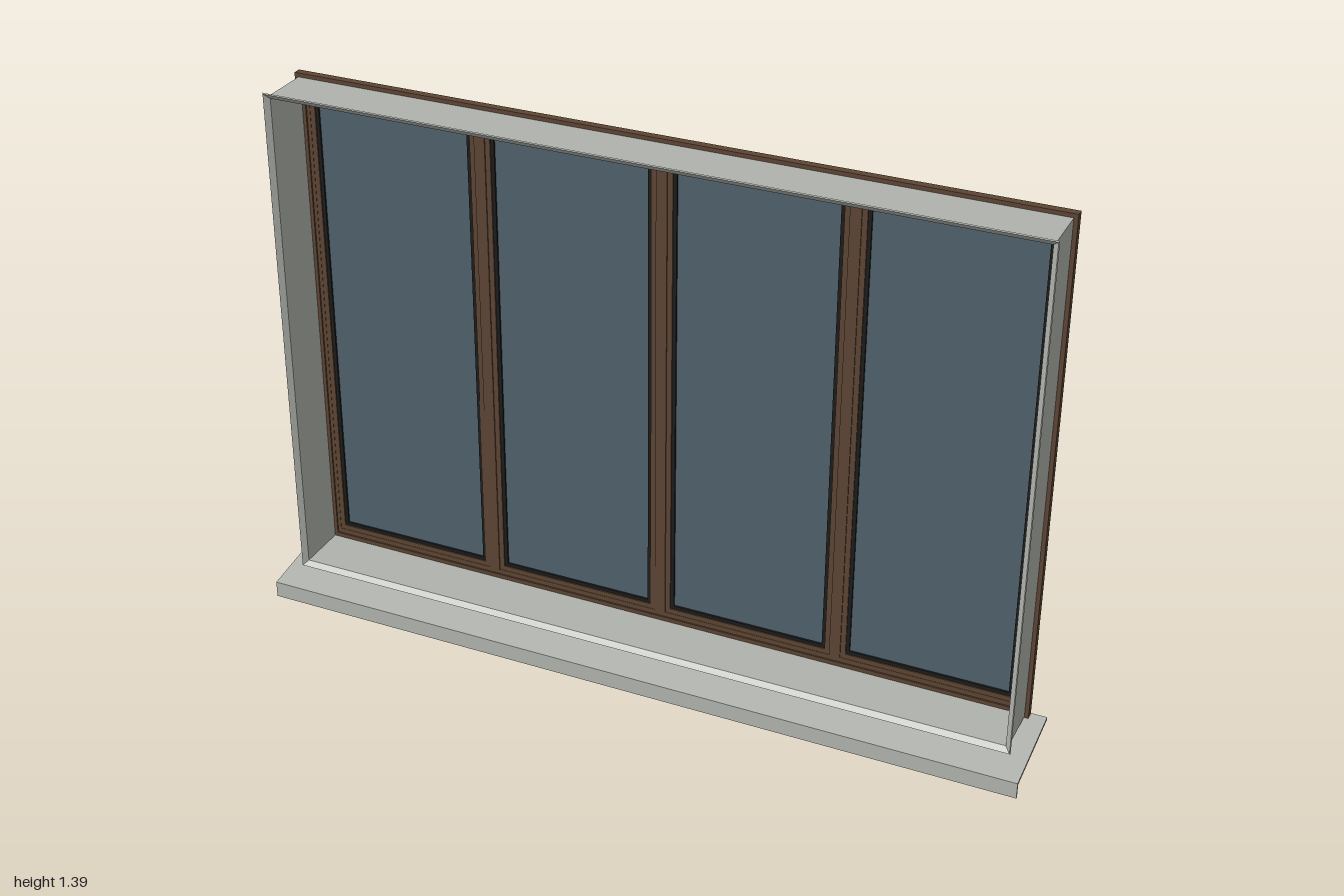
import * as THREE from 'three';

const mat = (name, color, extra = {}) => {
  const m = new THREE.MeshStandardMaterial({ color, ...extra });
  m.name = name;
  return m;
};

// Mitred rectangular ring: closed profile of [inset, z], counter-clockwise
function ringGeometry(x0, x1, y0, y1, profile) {
  const cx = (x0 + x1) / 2, cy = (y0 + y1) / 2;
  const hw = (x1 - x0) / 2, hh = (y1 - y0) / 2;
  const corners = [[1, -1], [1, 1], [-1, 1], [-1, -1]];
  const at = ([sx, sy], [inset, z]) => [cx + sx * (hw - inset), cy + sy * (hh - inset), z];
  const pos = [];
  corners.forEach((c0, i) => {
    const c1 = corners[(i + 1) % 4];
    profile.forEach((a, j) => {
      const b = profile[(j + 1) % profile.length];
      const a0 = at(c0, a), b0 = at(c0, b), a1 = at(c1, a), b1 = at(c1, b);
      pos.push(...a0, ...b0, ...b1, ...a0, ...b1, ...a1);
    });
  });
  const g = new THREE.BufferGeometry();
  g.setAttribute('position', new THREE.Float32BufferAttribute(pos, 3));
  g.computeVertexNormals();
  return g;
}

// Rectangular ring section of width w between two depths
const bar = (w, back, front) => [[0, front], [0, back], [w, back], [w, front]];

export function createModel() {
  const group = new THREE.Group();
  group.name = 'window';
  const brown = mat('brown frame', 0x5c4433);
  const grey = mat('grey metal', 0xb0b3ad);
  const glass = mat('blue grey glass', 0x4f606b);
  const black = mat('black gasket', 0x1c1b1a);

  const add = (name, geometry, material, parent = group) => {
    const m = new THREE.Mesh(geometry, material);
    m.name = name;
    parent.add(m);
    return m;
  };
  const box = (name, x0, x1, y0, y1, z0, z1, material, parent) => {
    const m = add(name, new THREE.BoxGeometry(x1 - x0, y1 - y0, z1 - z0), material, parent);
    m.position.set((x0 + x1) / 2, (y0 + y1) / 2, (z0 + z1) / 2);
  };

  const BACK = -0.115, Y0 = 0.105, Y1 = 1.35, X = 0.927;

  // Sloping sill with a turned-down front lip
  const sill = new THREE.Shape([
    [BACK, 0.068], [0.109, 0.036], [0.109, 0], [0.115, 0], [0.115, 0.043], [BACK, 0.076],
  ].map(([z, y]) => new THREE.Vector2(z, y)));
  const sillGeo = new THREE.ExtrudeGeometry(sill, { depth: 2, bevelEnabled: false });
  sillGeo.translate(0, 0, -1).rotateY(-Math.PI / 2);
  add('sill', sillGeo, grey);

  // Thin metal lining of the opening with a flared front edge
  add('revealLining', ringGeometry(-0.95, 0.95, 0.076, 1.377, [
    [-0.01, 0.046], [0, 0.037], [0, -0.096], [0.005, -0.096], [0.005, 0.038], [-0.008, 0.049],
  ]), grey);

  // Outer frame with a stepped inner edge
  add('outerFrame', ringGeometry(-0.96, 0.96, 0.068, 1.387, [
    [0, -0.095], [0, BACK], [0.033, BACK], [0.033, -0.099], [0.024, -0.099], [0.024, -0.095],
  ]), brown);
  // Fill strips where the top and bottom rails are deeper than the side posts
  box('bottomRail', -X, X, 0.1, Y0, BACK, -0.099, brown);
  box('topRail', -X, X, Y1, 1.355, BACK, -0.099, brown);

  // Mullions between the four panes
  const posts = [-0.467, 0, 0.467], half = 0.014;
  for (const x of posts) {
    box('mullion', x - half, x + half, Y0, Y1, BACK, -0.097, brown);
  }

  // Panes: glass, glazing bead and gasket in each bay
  for (let i = 0; i < 4; i++) {
    const x0 = i === 0 ? -X : posts[i - 1] + half;
    const x1 = i === 3 ? X : posts[i] - half;
    const pane = new THREE.Group();
    pane.name = 'pane' + (i + 1);
    group.add(pane);
    box('glass', x0, x1, Y0, Y1, BACK, -0.108, glass, pane);
    add('glazingBead', ringGeometry(x0, x1, Y0, Y1, bar(0.013, -0.1085, -0.1)), brown, pane);
    add('gasket', ringGeometry(x0 + 0.013, x1 - 0.013, Y0 + 0.013, Y1 - 0.013,
      bar(0.009, -0.1085, -0.103)), black, pane);
  }
  return group;
}
